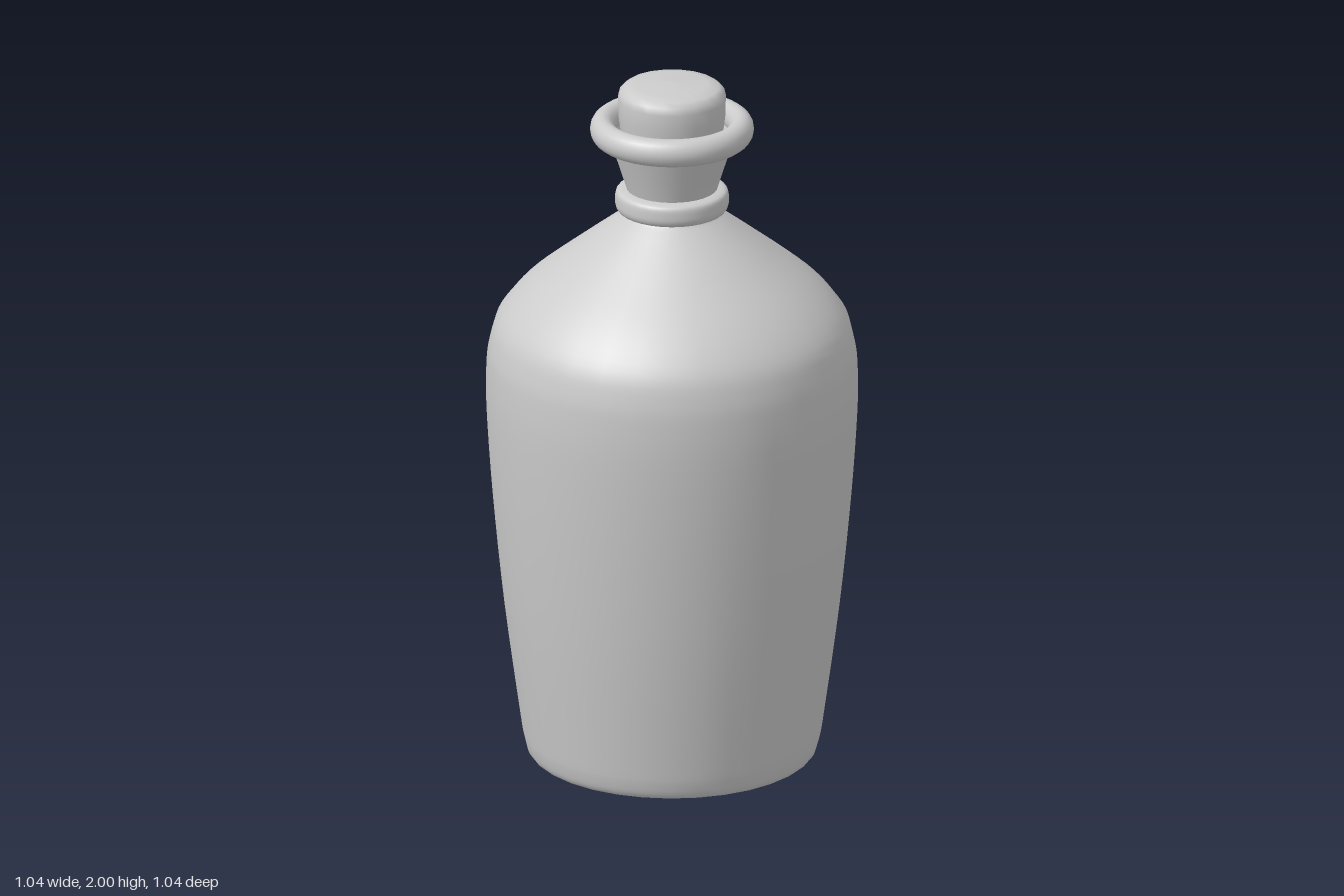
import * as THREE from 'three';

const material = new THREE.MeshStandardMaterial({ color: 0xcccccc, side: THREE.DoubleSide });
const toPoints = (list) => list.map(([r, y]) => new THREE.Vector2(r, y));

// Turn a profile, listed from bottom to top, into a named round part
function turned(name, points, sides = 32) {
  const mesh = new THREE.Mesh(new THREE.LatheGeometry(points, sides), material);
  mesh.name = name;
  return mesh;
}

// Elliptical ring: centre radius, height, radial and vertical half thickness
function ring(name, radius, y, halfWidth, halfHeight) {
  const geometry = new THREE.TorusGeometry(radius, halfWidth, 16, 48);
  geometry.rotateX(Math.PI / 2).scale(1, halfHeight / halfWidth, 1).translate(0, y, 0);
  const mesh = new THREE.Mesh(geometry, material);
  mesh.name = name;
  return mesh;
}

export function createModel() {
  const group = new THREE.Group();
  group.name = 'bottle';

  // Body: softly rounded foot, widening wall, rounded shoulder and cone
  const wall = new THREE.SplineCurve(toPoints([
    [0.375, 0.007], [0.398, 0.015], [0.412, 0.05], [0.425, 0.13], [0.468, 0.45], [0.5, 0.77],
    [0.517, 1.02], [0.518, 1.15], [0.51, 1.23], [0.483, 1.31], [0.405, 1.4],
    [0.275, 1.505], [0.165, 1.59], [0.125, 1.625], [0.12, 1.67],
  ])).getPoints(56);
  group.add(turned('body', wall));

  // Flat underside
  group.add(turned('base', toPoints([[0, 0], [0.36, 0], [0.385, 0.009]])));

  // Collar where the neck meets the shoulder
  group.add(turned('collar', new THREE.SplineCurve(toPoints([
    [0.11, 1.622], [0.145, 1.622], [0.157, 1.635], [0.159, 1.655],
    [0.156, 1.677], [0.142, 1.686], [0.11, 1.69],
  ])).getPoints(24)));

  // Flared neck with its inner wall
  group.add(turned('neck', toPoints([
    [0.12, 1.66], [0.128, 1.69], [0.15, 1.76], [0.178, 1.845],
  ])));
  group.add(turned('neckInside', toPoints([
    [0.11, 1.68], [0.128, 1.74], [0.15, 1.8], [0.168, 1.86],
  ])));

  // Rolled lip
  group.add(ring('lip', 0.194, 1.862, 0.035, 0.04));

  // Stopper with a rounded, slightly domed top
  group.add(turned('stopper', toPoints([
    [0, 1.69], [0.106, 1.69], [0.125, 1.76], [0.142, 1.84], [0.151, 1.91], [0.152, 1.955],
    [0.147, 1.975], [0.132, 1.988], [0.1, 1.995], [0, 2],
  ]), 20));

  return group;
}
